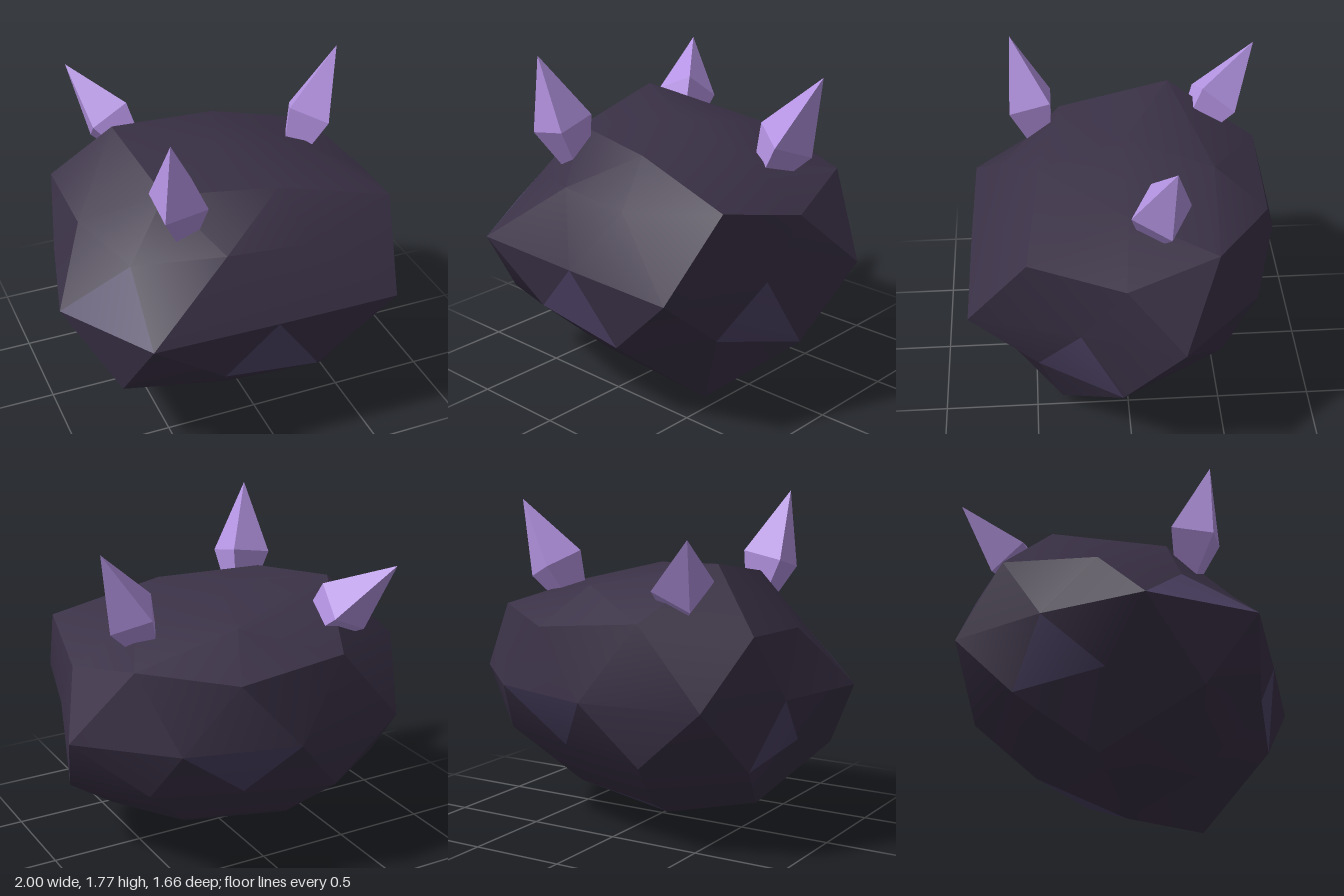
import * as THREE from 'three';
import { toCreasedNormals } from 'three/addons/utils/BufferGeometryUtils.js';

// Boulder rings: each is a bent circle of points running from +x towards +z
const topPole = [0, 1.405, -0.01];
const crown = [[0.5, 1.28, 0], [0.14, 1.335, 0.44], [-0.43, 1.35, 0.32], [-0.5, 1.45, -0.28], [0.15, 1.32, -0.47]];
const upper = [
  [0.84, 1.08, 0.03], [0.745, 1.195, 0.515], [0.22, 1.115, 0.67], [-0.22, 1.13, 0.64], [-0.655, 1.05, 0.43],
  [-0.8, 1.11, 0.03], [-0.8, 1.13, -0.46], [-0.31, 1.19, -0.74], [0.28, 1.13, -0.74], [0.71, 1.18, -0.44],
];
const equator = [ // x, z at one height
  [0.82, 0.26], [0.65, 0.83], [-0.01, 0.825], [-0.675, 0.81], [-1, 0.305],
  [-0.87, -0.24], [-0.66, -0.735], [-0.02, -0.835], [0.57, -0.67], [0.995, -0.255],
].map(([x, z]) => [x, 0.785, z]);
const lower = [
  [0.875, 0.4, 0.05], [0.68, 0.49, 0.48], [0.25, 0.41, 0.755], [-0.28, 0.49, 0.77], [-0.76, 0.39, 0.55],
  [-0.79, 0.51, 0.07], [-0.75, 0.43, -0.4], [-0.3, 0.46, -0.72], [0.2, 0.5, -0.63], [0.66, 0.51, -0.48],
];
const foot = [[0.5, 0.065, 0.36], [-0.14, 0.16, 0.43], [-0.585, 0.15, 0], [-0.19, 0.185, -0.41], [0.36, 0.2, -0.26]];
const bottomPole = [-0.02, 0, 0.03];

function boulderGeometry() {
  const dark = [], pale = [];
  const centre = new THREE.Vector3(0, 0.75, 0);
  // Adds a triangle, turned so that it faces outward
  const tri = (p, q, r, list = dark) => {
    const [a, b, c] = [p, q, r].map((v) => new THREE.Vector3(...v));
    const normal = b.clone().sub(a).cross(c.clone().sub(a));
    const out = a.clone().add(b).add(c).divideScalar(3).sub(centre);
    list.push(...p, ...(normal.dot(out) > 0 ? [...q, ...r] : [...r, ...q]));
  };
  // Cap between a pole, its five-point ring and the ten-point ring beyond
  const cap = (pole, five, ten, shift, paleIndex) => {
    for (let k = 0; k < 5; k++) {
      const next = five[(k + 1) % 5];
      const t = [0, 1, 2].map((j) => ten[(2 * k + shift + j) % 10]);
      tri(pole, five[k], next, k === paleIndex ? pale : dark);
      tri(five[k], t[0], t[1]);
      tri(five[k], t[1], next);
      tri(next, t[1], t[2]);
    }
  };
  cap(topPole, crown, upper, 0, -1);
  cap(bottomPole, foot, lower, 1, 3);
  // Side bands above and below the equator, with scattered pale facets
  for (let i = 0; i < 10; i++) {
    const n = (i + 1) % 10;
    tri(upper[i], equator[i], upper[n]);
    tri(upper[n], equator[i], equator[n], i === 3 ? pale : dark);
    tri(equator[i], lower[i], lower[n], [0, 2, 5].includes(i) ? pale : dark);
    tri(equator[i], lower[n], equator[n], i === 7 ? pale : dark);
  }
  const geometry = new THREE.BufferGeometry();
  geometry.setAttribute('position', new THREE.Float32BufferAttribute([...dark, ...pale], 3));
  geometry.addGroup(0, dark.length / 3, 0);
  geometry.addGroup(dark.length / 3, pale.length / 3, 1);
  return toCreasedNormals(geometry, 0.42);
}

function flat(geometry) {
  const g = geometry.toNonIndexed();
  g.computeVertexNormals();
  return g;
}

// Four-sided crystal: long point above the waist, short taper into the rock
function crystal(waist, tip, twist, material) {
  const group = new THREE.Group();
  group.name = 'crystal';
  const base = new THREE.Vector3(...waist);
  const axis = new THREE.Vector3(...tip).sub(base);
  const length = axis.length();
  const point = new THREE.Mesh(flat(new THREE.ConeGeometry(0.16, length, 4, 1, true).translate(0, length / 2, 0)), material);
  point.name = 'crystalPoint';
  const root = new THREE.Mesh(flat(new THREE.CylinderGeometry(0.16, 0.07, 0.25, 4).translate(0, -0.125, 0)), material);
  root.name = 'crystalRoot';
  for (const part of [point, root]) {
    part.rotation.y = twist;
    group.add(part);
  }
  group.position.copy(base);
  group.quaternion.setFromUnitVectors(new THREE.Vector3(0, 1, 0), axis.normalize());
  return group;
}

export function createModel() {
  const paint = (name, color) => {
    const m = new THREE.MeshStandardMaterial({ color });
    m.name = name;
    return m;
  };
  const rock = paint('dark rock', 0x3a3146);
  const paleRock = paint('pale rock', 0x4b4163);
  const violet = paint('violet crystal', 0xb594e3);

  const model = new THREE.Group();
  model.name = 'crystalBoulder';
  const boulder = new THREE.Mesh(boulderGeometry(), [rock, paleRock]);
  boulder.name = 'boulder';
  model.add(boulder);

  model.add(crystal([-0.41, 1.4, 0.475], [-0.48, 1.77, 0.57], Math.PI / 4, violet));
  model.add(crystal([0.59, 1.375, -0.155], [0.77, 1.725, -0.21], 0.3, violet));
  model.add(crystal([-0.44, 1.36, -0.53], [-0.6, 1.615, -0.76], Math.PI / 4, violet));
  return model;
}
